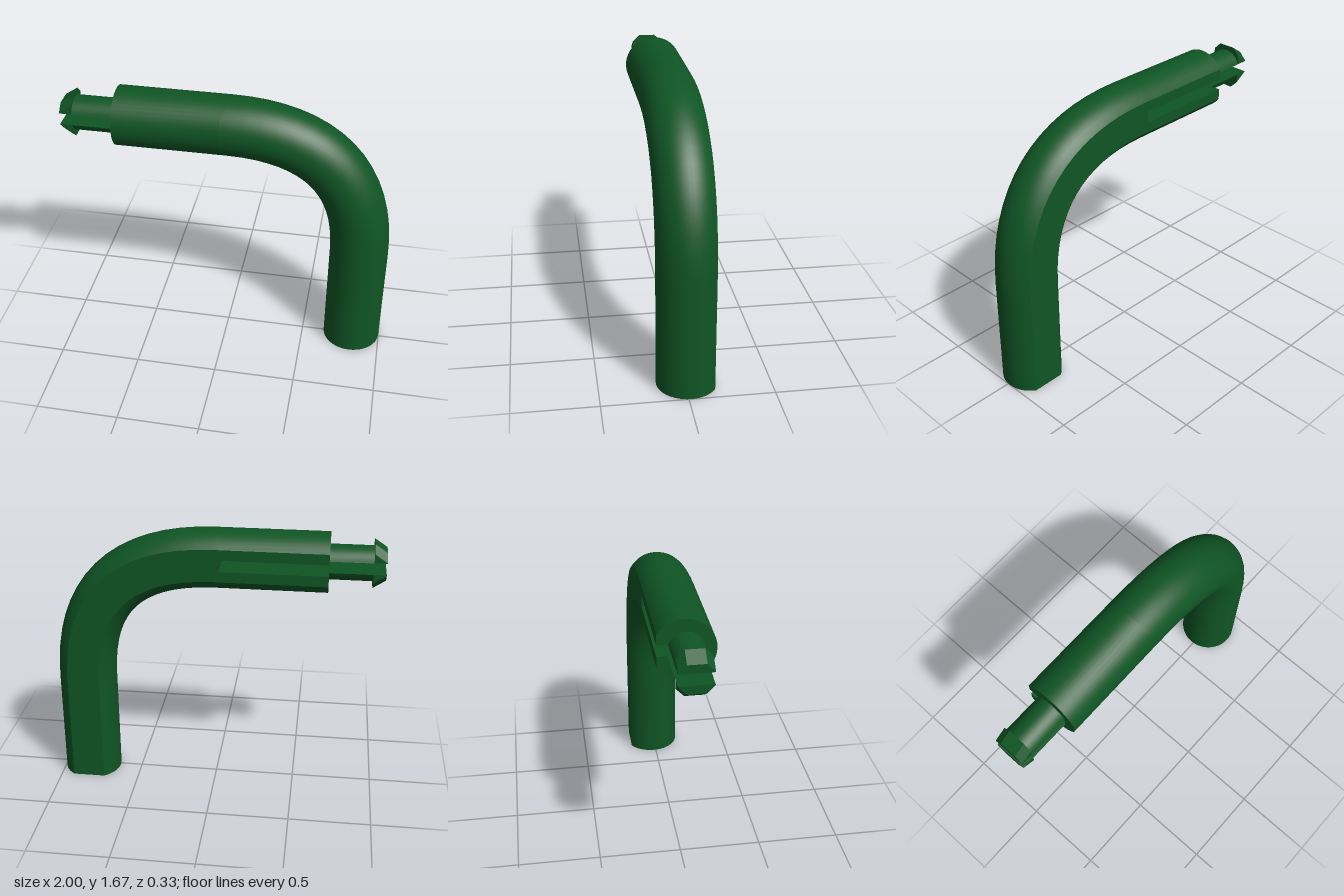
import * as THREE from 'three';
import { toCreasedNormals } from 'three/addons/utils/BufferGeometryUtils.js';

const R = 0.18, AXIS_Z = -0.015, BACK_Z = -0.165; // round bar with a flat back
const ARM_Y = 1.495, BEND = 0.82, SLOT = 0.035, SLOT_FLOOR = 0.09;
const ARM_END = -0.67, SLOT_END = -0.03, BARB_X = -0.925, TIP_X = -1;

// Skin a closed solid over rings of Vector3; outline is the 2D section used for the caps
function loft(rings, outline) {
  const n = outline.length, pos = [], index = [];
  rings.forEach(r => r.forEach(p => pos.push(p.x, p.y, p.z)));
  for (let i = 0; i < rings.length - 1; i++) {
    for (let j = 0; j < n; j++) {
      const a = i * n + j, b = i * n + (j + 1) % n;
      index.push(a, b, a + n, b, b + n, a + n);
    }
  }
  const last = (rings.length - 1) * n;
  for (const [a, b, c] of THREE.ShapeUtils.triangulateShape(outline.slice(), [])) {
    index.push(a, c, b, last + a, last + b, last + c);
  }
  const g = new THREE.BufferGeometry();
  g.setAttribute('position', new THREE.Float32BufferAttribute(pos, 3));
  g.setIndex(index);
  return toCreasedNormals(g, 0.6);
}

// Points of a circular arc; x is the offset from the bar axis, y is world z
function arc(radius, z, start, end, steps) {
  return Array.from({ length: steps + 1 }, (_, i) => {
    const a = start + (end - start) * i / steps;
    return new THREE.Vector2(radius * Math.cos(a), z + radius * Math.sin(a));
  });
}

// D-shaped bar section, optionally with the slot cut into its flat
function barSection(slotted) {
  const start = -Math.asin((AXIS_Z - BACK_Z) / R);
  const pts = arc(R, AXIS_Z, start, Math.PI - start, 36);
  if (slotted) {
    pts.push(new THREE.Vector2(-SLOT, BACK_Z), new THREE.Vector2(-SLOT, SLOT_FLOOR),
      new THREE.Vector2(SLOT, SLOT_FLOOR), new THREE.Vector2(SLOT, BACK_Z));
  }
  return pts;
}

// Place a section at (x, y), its first axis turned by angle t from up towards +x
const ring = (section, x, y, t = 0) => section.map(p =>
  new THREE.Vector3(x + p.x * Math.sin(t), y + p.x * Math.cos(t), p.y));

// Turn a section above the gap into its mirror image below, keeping the winding
const flip = (section, side) => side > 0 ? section
  : section.map(p => new THREE.Vector2(-p.x, p.y)).reverse();

// Chamfered barb section, lowered by drop at the tip
const barbSection = drop => [[SLOT, -0.1], [0.09 - drop, -0.1], [0.135 - drop, -0.055],
  [0.135 - drop, 0.05], [0.09 - drop, 0.094], [SLOT, 0.094]].map(p => new THREE.Vector2(...p));

export function createModel() {
  const group = new THREE.Group();
  const green = new THREE.MeshStandardMaterial({ color: 0x0f5524 });
  green.name = 'dark green';
  const add = (name, geometry) => {
    const mesh = new THREE.Mesh(geometry, green);
    mesh.name = name;
    group.add(mesh);
  };

  // Straight arm with a slot along its flat back
  const slotted = barSection(true);
  add('slottedArm', loft([ring(slotted, ARM_END, ARM_Y), ring(slotted, SLOT_END, ARM_Y)], slotted));

  // Bend with a tighter middle, running on into the upright leg
  const plain = barSection(false), rings = [ring(plain, SLOT_END, ARM_Y)];
  const bend = new THREE.QuadraticBezierCurve(new THREE.Vector2(0, ARM_Y),
    new THREE.Vector2(BEND, ARM_Y), new THREE.Vector2(BEND, ARM_Y - BEND));
  for (let i = 0; i <= 16; i++) {
    const p = bend.getPoint(i / 16), d = bend.getTangent(i / 16);
    rings.push(ring(plain, p.x, p.y, Math.atan2(-d.y, d.x)));
  }
  rings.push(ring(plain, BEND, 0, Math.PI / 2));
  add('bendAndLeg', loft(rings, plain));

  // Pair of half-round prongs with chamfered snap barbs
  const gapAngle = Math.acos(SLOT / 0.105);
  for (const side of [1, -1]) {
    const prefix = side > 0 ? 'upper' : 'lower';
    const shank = flip(arc(0.105, -0.003, -gapAngle, gapAngle, 16), side);
    add(prefix + 'Prong', loft([ring(shank, BARB_X, ARM_Y), ring(shank, ARM_END, ARM_Y)], shank));
    const tip = flip(barbSection(0.05), side), base = flip(barbSection(0), side);
    add(prefix + 'Barb', loft([ring(tip, TIP_X, ARM_Y), ring(base, BARB_X, ARM_Y)], base));
  }
  return group;
}
